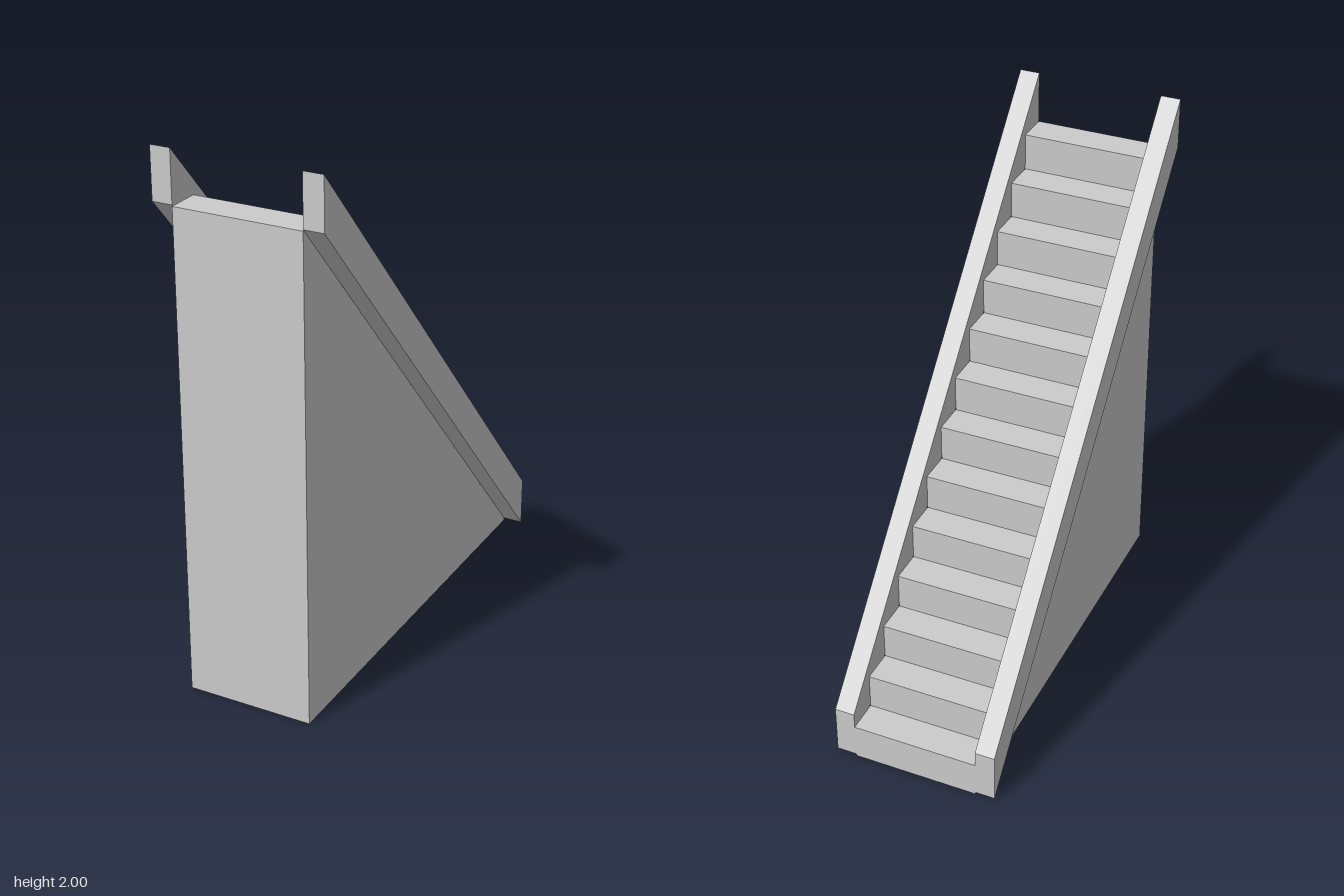
import * as THREE from 'three';

const STEPS = 13;
const HALF_RUN = 0.818;   // half length along z
const TREAD_TOP = 1.805;  // height of the highest tread
const BODY_WIDTH = 0.476;
const RAIL_WIDTH = 0.075;

// Extrude a side profile given as [z, y] points across x, centred on x.
function sideProfile(name, points, width, x) {
  const shape = new THREE.Shape(points.map(([z, y]) => new THREE.Vector2(z, y)));
  const geometry = new THREE.ExtrudeGeometry(shape, { depth: width, bevelEnabled: false });
  geometry.translate(0, 0, -width / 2);
  geometry.rotateY(-Math.PI / 2);
  const material = new THREE.MeshStandardMaterial({ color: 0xcccccc, flatShading: true });
  const mesh = new THREE.Mesh(geometry, material);
  mesh.name = name;
  mesh.position.x = x;
  return mesh;
}

export function createModel() {
  const model = new THREE.Group();
  model.name = 'staircase';

  // Solid stepped body, climbing from the back to the front
  const profile = [[HALF_RUN, 0], [-HALF_RUN, 0]];
  const run = (2 * HALF_RUN) / STEPS;
  const rise = TREAD_TOP / STEPS;
  for (let i = 0; i < STEPS; i++) {
    const y = (i + 1) * rise;
    profile.push([-HALF_RUN + i * run, y], [-HALF_RUN + (i + 1) * run, y]);
  }
  model.add(sideProfile('steppedBody', profile, BODY_WIDTH, 0));

  // Sloping side rails, flush with the body's sides
  const rail = [[-HALF_RUN, 0.008], [HALF_RUN, 1.81], [HALF_RUN, 2], [-HALF_RUN, 0.198]];
  for (const side of [-1, 1]) {
    const x = side * (BODY_WIDTH + RAIL_WIDTH) / 2;
    model.add(sideProfile(side > 0 ? 'leftRail' : 'rightRail', rail, RAIL_WIDTH, x));
  }
  return model;
}
